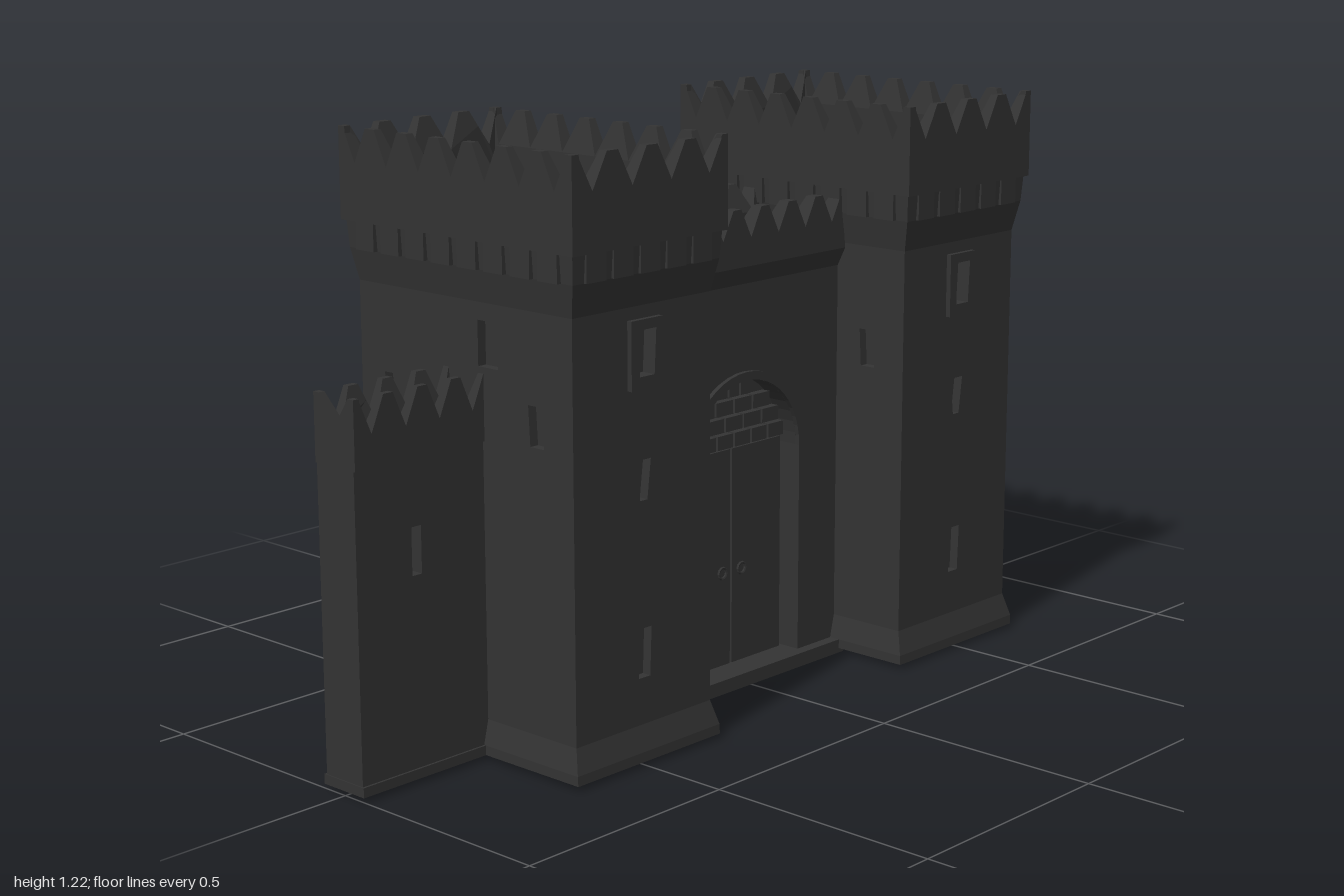
import * as THREE from 'three';

const stone = new THREE.MeshStandardMaterial({ color: 0x333333, flatShading: true });

function add(parent, geo, name, x = 0, y = 0, z = 0) {
  const m = new THREE.Mesh(geo, stone);
  m.name = name;
  m.position.set(x, y, z);
  parent.add(m);
  return m;
}
const box = (p, name, w, h, d, x, y, z) => add(p, new THREE.BoxGeometry(w, h, d), name, x, y, z);

// Turn a mesh built facing +z so that it faces angle a, at distance d from the axis
function face(mesh, a, d) {
  mesh.rotation.y = a;
  mesh.position.x += Math.sin(a) * d;
  mesh.position.z += Math.cos(a) * d;
  return mesh;
}

// Rectangular solid through rings of [y, halfX, halfZ]
function loft(rings) {
  const pos = [], corner = [[-1, 1], [1, 1], [1, -1], [-1, -1]];
  const pt = (r, i) => [corner[i % 4][0] * r[1], r[0], corner[i % 4][1] * r[2]];
  const quad = (a, b, c, d) => pos.push(...a, ...b, ...c, ...a, ...c, ...d);
  for (let k = 0; k < rings.length - 1; k++) {
    for (let i = 0; i < 4; i++) {
      quad(pt(rings[k], i), pt(rings[k], i + 1), pt(rings[k + 1], i + 1), pt(rings[k + 1], i));
    }
  }
  const lo = rings[0], hi = rings[rings.length - 1];
  quad(pt(lo, 3), pt(lo, 2), pt(lo, 1), pt(lo, 0));
  quad(pt(hi, 0), pt(hi, 1), pt(hi, 2), pt(hi, 3));
  const g = new THREE.BufferGeometry();
  g.setAttribute('position', new THREE.Float32BufferAttribute(pos, 3));
  g.computeVertexNormals();
  return g;
}

// Wall panel with its outer face on z = 0 and holes cut through
function panel(w, y0, y1, t, holes) {
  const s = new THREE.Shape([[-w / 2, y0], [w / 2, y0], [w / 2, y1], [-w / 2, y1]].map(p => new THREE.Vector2(...p)));
  s.holes = holes;
  return new THREE.ExtrudeGeometry(s, { depth: t, bevelEnabled: false, curveSegments: 10 }).translate(0, 0, -t);
}

// Window opening, slightly narrower at the sill
function slot(x, y, w, h, taper = 0.8) {
  const a = w / 2, b = a * taper;
  return new THREE.Path([[x - b, y - h / 2], [x - a, y + h / 2], [x + a, y + h / 2], [x + b, y - h / 2]]
    .map(p => new THREE.Vector2(...p)));
}

// Parapet with pointed merlons, thinning on the inner side towards the tips
function parapet(len, y0, yValley, yTop, n, t) {
  const pts = [[-len / 2, y0], [len / 2, y0]], step = len / n, h = yTop - yValley;
  for (let i = n; i >= 0; i--) {
    const x = -len / 2 + i * step;
    if (i < n) pts.push([x + step * 0.5, yValley], [x + step * 0.3, yValley + h * 0.55], [x + step * 0.14, yTop]);
    else pts.push([x, yTop]);
    if (i > 0) pts.push([x - step * 0.14, yTop], [x - step * 0.3, yValley + h * 0.55]);
    else pts.push([x, yTop]);
  }
  const s = new THREE.Shape(pts.map(p => new THREE.Vector2(...p)));
  const g = new THREE.ExtrudeGeometry(s, { depth: t, bevelEnabled: false }).translate(0, 0, -t);
  const p = g.attributes.position;
  for (let i = 0; i < p.count; i++) {
    const f = (p.getY(i) - yValley) / h;
    if (f > 0 && p.getZ(i) < -t / 2) p.setZ(i, -t * (1 - 0.5 * f));
  }
  g.computeVertexNormals();
  return g;
}

function makeTower() {
  const g = new THREE.Group();
  g.name = 'tower';
  const hx = 0.296, hz = 0.188, t = 0.02;
  add(g, loft([[0.01, 0.312, 0.2], [0.03, 0.311, 0.2], [0.08, hx, hz]]), 'towerPlinth');
  add(g, loft([[0.07, hx - t, hz - t], [0.93, hx - t, hz - t]]), 'towerCore');
  // walls with recessed windows
  for (let k = 0; k < 4; k++) {
    const a = k * Math.PI / 2, broad = k % 2 === 0;
    const holes = broad
      ? [slot(-0.205, 0.695, 0.045, 0.08), slot(0.2, 0.69, 0.045, 0.08)]
      : [slot(0, 0.82, 0.05, 0.09), slot(0, 0.57, 0.04, 0.08, 0.5), slot(0, 0.225, 0.04, 0.1)];
    if (k === 0) holes.push(slot(0.07, 0.83, 0.055, 0.09, 1));
    face(add(g, panel(broad ? hx * 2 : (hz - t) * 2, 0.08, 0.92, t, holes), 'towerWall'), a, broad ? hz : hx);
    // window surround on the narrow sides
    if (!broad) {
      face(add(g, panel(0.085, 0.75, 0.885, 0.012, [slot(0, 0.82, 0.05, 0.09)]), 'windowSurround'), a, hx + 0.011);
    }
    // corbels under the parapet
    const n = broad ? 8 : 5, span = broad ? 0.58 : 0.36;
    for (let i = 0; i < n; i++) {
      const c = box(g, 'corbel', span / n * 0.72, 0.06, 0.03, 0, 1.005, 0);
      const u = (i + 0.5 - n / 2) * span / n;
      c.position.x = Math.cos(a) * u;
      c.position.z = -Math.sin(a) * u;
      face(c, a, (broad ? hz : hx) + 0.006);
    }
    // crenellations
    face(add(g, parapet(broad ? 0.644 : 0.42, 1.03, 1.145, 1.215, broad ? 7 : 4, 0.036), 'towerParapet'),
      a, broad ? 0.21 : 0.322);
  }
  add(g, loft([[0.91, hx, hz], [0.975, 0.31, 0.199], [1.035, 0.314, 0.203], [1.05, 0.322, 0.21], [1.085, 0.32, 0.208]]), 'towerHead');
  return g;
}

function makeWing() {
  const g = new THREE.Group();
  g.name = 'sideWall';
  // wall running along local x from the tower, pierced by an arrow slit
  const body = panel(0.335, 0.01, 0.66, 0.104, [slot(0.02, 0.46, 0.024, 0.095, 1)]);
  add(g, body, 'sideWallBody', 0, 0, 0.052);
  for (const a of [0, Math.PI]) {
    face(add(g, parapet(0.335, 0.64, 0.705, 0.775, 4, 0.028), 'sideWallParapet'), a, 0.056);
  }
  face(add(g, parapet(0.112, 0.64, 0.715, 0.775, 1, 0.028), 'sideWallEndParapet'), Math.PI / 2, 0.1675);
  box(g, 'sideWallFoot', 0.34, 0.02, 0.114, 0, 0.02, 0);
  return g;
}

function makeGate() {
  const g = new THREE.Group();
  g.name = 'gatehouse';
  const r = 0.168, spring = 0.49;
  box(g, 'threshold', 0.28, 0.03, 0.61, 0, 0.015, 0);
  add(g, loft([[0.02, 0.07, 0.31], [0.9, 0.07, 0.31]]), 'gateCore');
  const arch = (rad) => {
    const p = new THREE.Path();
    p.moveTo(-rad, 0.035);
    p.lineTo(rad, 0.035);
    p.lineTo(rad, spring);
    p.absarc(0, spring, rad, 0, Math.PI, false);
    p.lineTo(-rad, 0.035);
    return p;
  };
  for (const a of [Math.PI / 2, -Math.PI / 2]) {
    const side = new THREE.Group();
    side.name = 'gateFace';
    face(side, a, 0.115);
    g.add(side);
    add(side, panel(0.62, 0.02, 0.9, 0.046, [arch(r)]), 'gateWall');
    // raised rim around the arch
    const rim = new THREE.Shape(arch(r + 0.018).getPoints(12));
    rim.holes.push(arch(r));
    add(side, new THREE.ExtrudeGeometry(rim, { depth: 0.01, bevelEnabled: false }), 'archRim');
    // door leaves with handles
    for (const s of [-1, 1]) {
      box(side, 'doorLeaf', 0.154, 0.47, 0.012, s * 0.08, 0.27, -0.04);
      add(side, new THREE.TorusGeometry(0.012, 0.003, 5, 10), 'doorHandle', s * 0.03, 0.24, -0.031);
    }
    // courses of stone filling the arch head
    for (let row = 0; row < 4; row++) {
      const y = 0.525 + row * 0.036;
      const half = Math.sqrt(Math.max(0, r * r - (y + 0.016 - spring) ** 2));
      const n = 6 - row;
      for (let i = 0; i < n; i++) {
        box(side, 'archStone', 2 * half / n - 0.006, 0.03, 0.022, (i + 0.5 - n / 2) * 2 * half / n, y, -0.037);
      }
    }
    // parapet with sloped underside
    add(side, parapet(0.6, 0.9, 0.96, 1.02, 7, 0.05), 'gateParapet', 0, 0, 0.02);
  }
  add(g, loft([[0.86, 0.115, 0.31], [0.9, 0.135, 0.31], [0.915, 0.135, 0.31]]), 'gateWalk');
  return g;
}

export function createModel() {
  const castle = new THREE.Group();
  castle.name = 'castleGate';
  castle.add(makeGate());
  for (const s of [1, -1]) {
    const tower = makeTower();
    tower.position.z = s * 0.49;
    if (s < 0) tower.rotation.y = Math.PI;
    castle.add(tower);
    const wing = makeWing();
    wing.position.z = s * 0.8325;
    wing.rotation.y = -s * Math.PI / 2;
    castle.add(wing);
  }
  return castle;
}
